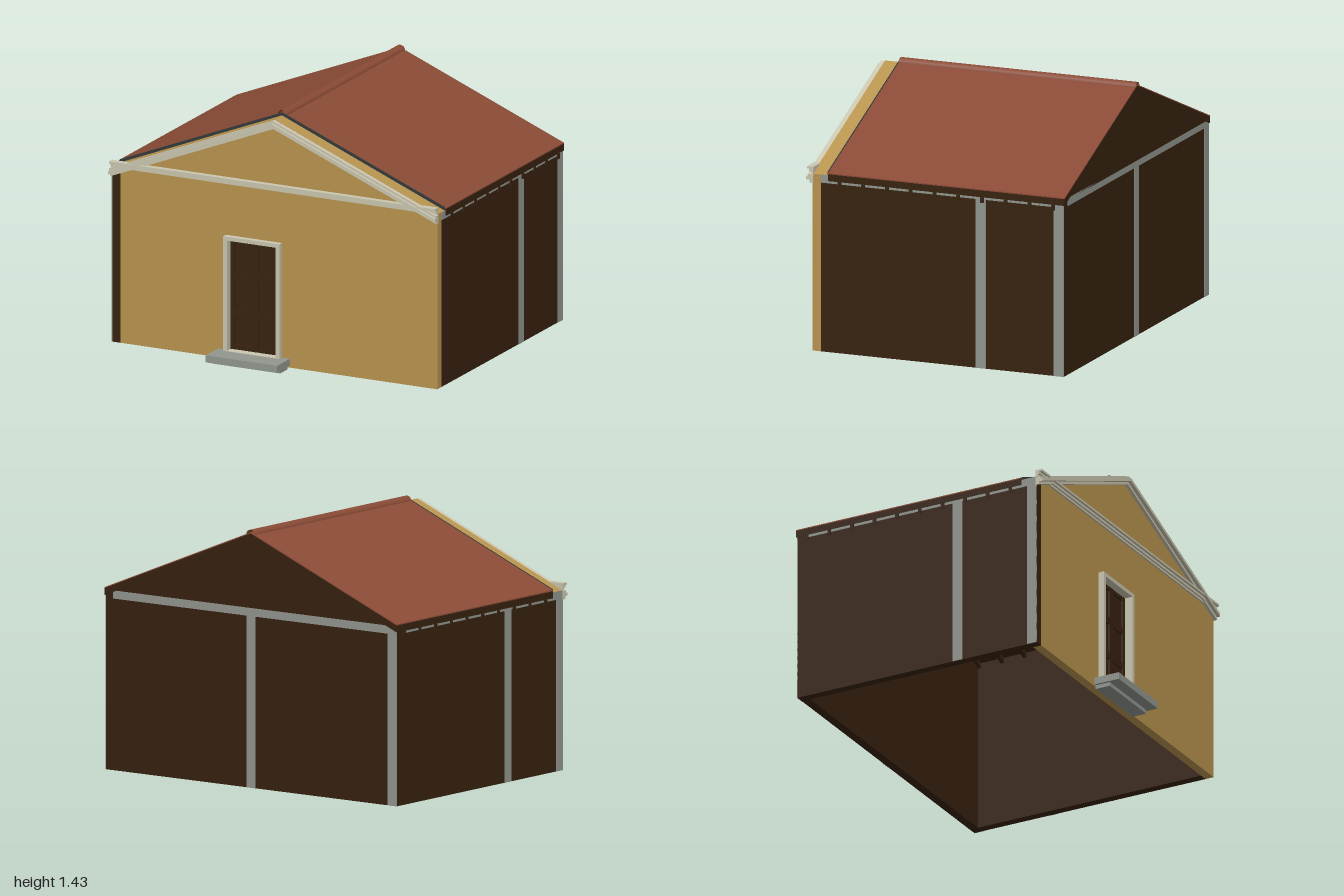
import * as THREE from 'three';

const mat = (name, color) => {
  const m = new THREE.MeshStandardMaterial({ color });
  m.name = name;
  return m;
};

export function createModel() {
  const ochre = mat('ochre plaster', 0xb8944f);
  const timber = mat('dark timber', 0x37220f);
  const tile = mat('red tile', 0x8a4b36);
  const tileCap = mat('ridge tile', 0x8a4b36);
  tileCap.side = THREE.DoubleSide;
  const stone = mat('grey stone', 0x92968f);
  const cream = mat('cream trim', 0xcac6b0);
  const slate = mat('slate flashing', 0x33383a);

  const house = new THREE.Group();
  house.name = 'house';

  const add = (parent, name, geometry, material) => {
    const mesh = new THREE.Mesh(geometry, material);
    mesh.name = name;
    parent.add(mesh);
    return mesh;
  };
  // Box given by its minimum and maximum on each axis
  const box = (parent, name, material, x0, x1, y0, y1, z0, z1) => {
    const mesh = add(parent, name, new THREE.BoxGeometry(x1 - x0, y1 - y0, z1 - z0), material);
    mesh.position.set((x0 + x1) / 2, (y0 + y1) / 2, (z0 + z1) / 2);
    return mesh;
  };
  const outline = (points) => new THREE.Shape(points.map(([x, y]) => new THREE.Vector2(x, y)));
  const slab = (parent, name, material, shape, z0, z1) => {
    const geometry = new THREE.ExtrudeGeometry(shape, { depth: z1 - z0, bevelEnabled: false });
    return add(parent, name, geometry.translate(0, 0, z0), material);
  };
  // Inverted V that follows the roof pitch
  const PITCH = 0.405;
  const chevron = (parent, name, material, apex, thick, half, z0, z1) => {
    const low = apex - PITCH * half;
    return slab(parent, name, material, outline([
      [-half, low], [-half, low - thick], [0, apex - thick],
      [half, low - thick], [half, low], [0, apex],
    ]), z0, z1);
  };

  // Front wall with door opening, and the thicker gable above it
  const front = outline([[-0.94, 0.012], [0.99, 0.012], [0.99, 1], [-0.94, 1]]);
  front.holes.push(new THREE.Path([
    [-0.285, 0.05], [-0.285, 0.7], [0.035, 0.7], [0.035, 0.05],
  ].map(([x, y]) => new THREE.Vector2(x, y))));
  slab(house, 'frontWall', ochre, front, 0.62, 0.67);
  slab(house, 'frontGable', ochre, outline([[-0.99, 1], [0.99, 1], [0, 1.402]]), 0.58, 0.67);

  // Timber walls laid out in a pinwheel, each with a middle post, an end post and a top beam
  const timberWall = (name, length, x, z, turn) => {
    const wall = new THREE.Group();
    wall.name = name;
    wall.position.set(x, 0, z);
    wall.rotation.y = turn;
    box(wall, 'panel', timber, 0, length, 0.012, 1, -0.05, 0);
    box(wall, 'middlePost', stone, 0.91, 0.97, 0.012, 0.955, -0.002, 0.003);
    box(wall, 'endPost', stone, length - 0.06, length, 0.012, 0.955, -0.002, 0.003);
    box(wall, 'topBeam', stone, 0, length, 0.955, 1, -0.002, 0.003);
    house.add(wall);
  };
  timberWall('leftWall', 1.43, 0.99, 0.62, Math.PI / 2);
  timberWall('backWall', 1.93, 0.94, -0.81, Math.PI);
  timberWall('rightWall', 1.43, -0.99, -0.76, -Math.PI / 2);
  for (const s of [-1, 1]) {
    const x = s * 0.965;
    box(house, 'beamEnd', stone, x - 0.025, x + 0.025, 0.958, 0.999, 0.575, 0.62);
  }
  slab(house, 'backGable', timber, outline([[-0.985, 0.99], [0.985, 0.99], [0, 1.39]]), -0.813, -0.763);

  // Roof: tiles on a timber deck, flashing, rafters and ridge cap
  chevron(house, 'roofTiles', tile, 1.416, 0.006, 0.996, -0.817, 0.578);
  chevron(house, 'roofDeck', timber, 1.41, 0.038, 0.996, -0.817, 0.578);
  chevron(house, 'roofFlashing', slate, 1.418, 0.03, 0.99, 0.578, 0.584);
  for (let i = 0; i < 10; i++) {
    const z = 0.51 - i * 0.14;
    chevron(house, 'rafter', timber, 1.373, 0.03, 1, z - 0.01, z + 0.01);
  }
  const ridge = add(house, 'ridgeCap',
    new THREE.CylinderGeometry(0.03, 0.03, 1.395, 20, 1, true), tileCap);
  ridge.rotation.x = Math.PI / 2;
  ridge.position.set(0, 1.4, -0.1195);

  // Pediment mouldings: [drop from the top, thickness, front z]
  const pediment = new THREE.Group();
  pediment.name = 'pediment';
  house.add(pediment);
  for (const [drop, thick, z] of [[0, 0.014, 0.695], [0.014, 0.018, 0.708], [0.032, 0.016, 0.688]]) {
    chevron(pediment, 'rakingMoulding', cream, 1.4 - drop, thick, 0.995, 0.665, z);
  }
  for (const [y0, y1, z] of [[1, 1.012, 0.68], [1.012, 1.026, 0.69], [1.026, 1.038, 0.703]]) {
    box(pediment, 'corniceMoulding', cream, -0.993, 0.993, y0, y1, 0.665, z);
  }

  // Door frame, showing on both faces of the wall
  const frame = outline([[-0.297, 0.045], [0.045, 0.045], [0.045, 0.71], [-0.297, 0.71]]);
  frame.holes.push(new THREE.Path([
    [-0.275, 0.065], [-0.275, 0.688], [0.022, 0.688], [0.022, 0.065],
  ].map(([x, y]) => new THREE.Vector2(x, y))));
  slab(house, 'doorFrame', cream, frame, 0.613, 0.702);

  // Six-panel door
  const door = new THREE.Group();
  door.name = 'door';
  house.add(door);
  box(door, 'doorLeaf', timber, -0.275, 0.022, 0.065, 0.688, 0.622, 0.645);
  for (const [x0, x1] of [[-0.275, -0.253], [-0.145, -0.108], [0, 0.022]]) {
    box(door, 'doorStile', timber, x0, x1, 0.065, 0.688, 0.645, 0.656);
  }
  for (const [y0, y1] of [[0.065, 0.09], [0.257, 0.295], [0.465, 0.503], [0.666, 0.688]]) {
    box(door, 'doorRail', timber, -0.275, 0.022, y0, y1, 0.645, 0.655);
  }

  // Door steps
  box(house, 'upperStep', stone, -0.343, 0.092, 0.022, 0.062, 0.67, 0.82);
  box(house, 'lowerStep', stone, -0.33, 0.078, 0, 0.022, 0.67, 0.757);

  return house;
}
